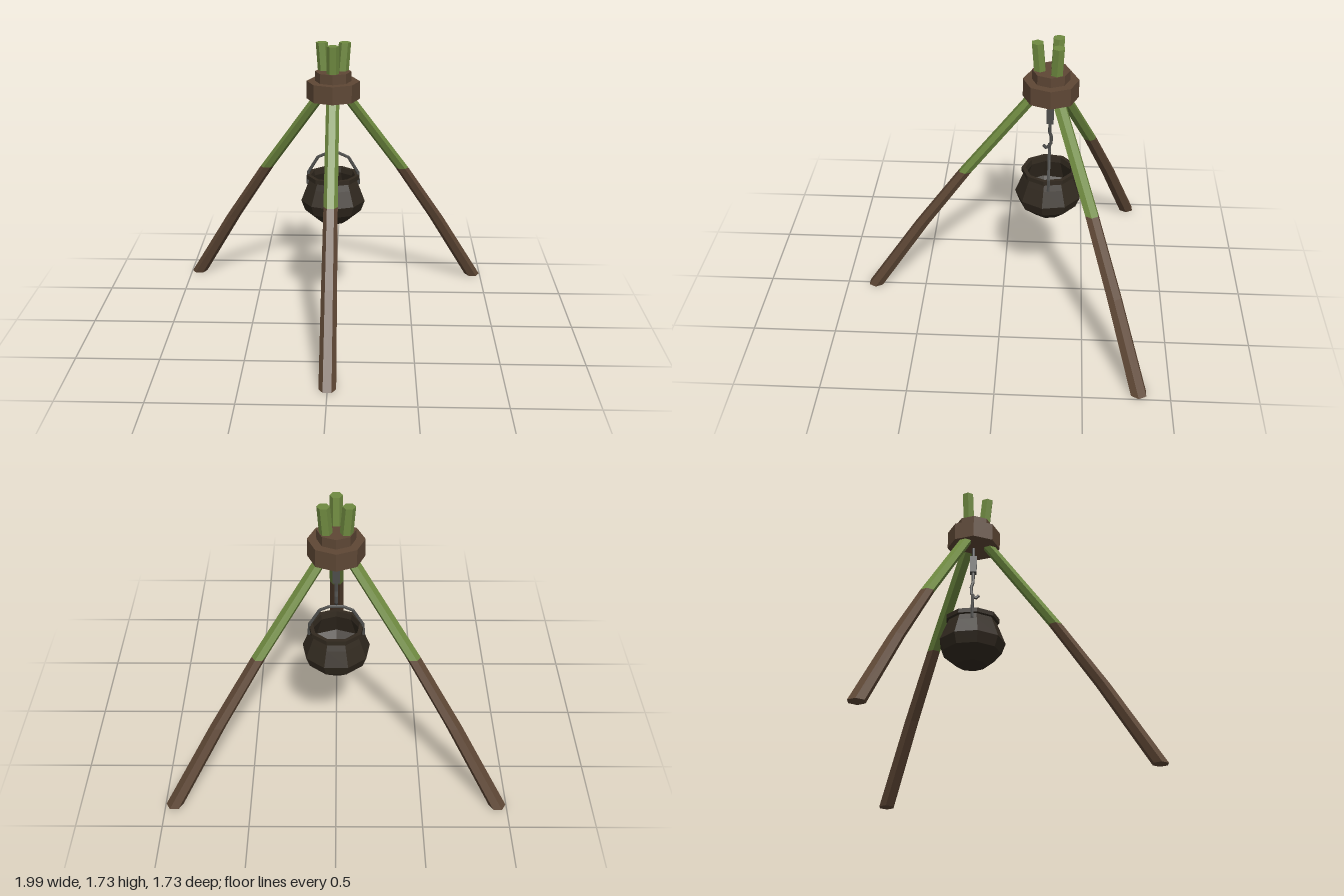
import * as THREE from 'three';

const flat = (name, color, side = THREE.FrontSide) =>
  Object.assign(new THREE.MeshStandardMaterial({ color, flatShading: true, side }), { name });
const V = (x, y, z) => new THREE.Vector3(x, y, z);

// Faceted rod along a path lying in the plane with the given normal.
// A fixed axis keeps every cross-section parallel.
function rod(points, radii, normal, sides, axis) {
  const rings = points.map((p, i) => {
    const a = points[Math.max(i - 1, 0)], b = points[Math.min(i + 1, points.length - 1)];
    const t = axis || b.clone().sub(a).normalize();
    const u = normal.clone().cross(t);
    const r = Array.isArray(radii) ? radii[i] : radii;
    return Array.from({ length: sides }, (_, k) => {
      const ang = (k / sides) * Math.PI * 2;
      return p.clone().addScaledVector(u, r * Math.cos(ang)).addScaledVector(normal, r * Math.sin(ang));
    });
  });
  const pos = [];
  const tri = (...vs) => vs.forEach(v => pos.push(v.x, v.y, v.z));
  const last = rings.length - 1;
  for (let k = 0; k < sides; k++) {
    const n = (k + 1) % sides;
    for (let i = 0; i < last; i++) {
      tri(rings[i][k], rings[i][n], rings[i + 1][n]);
      tri(rings[i][k], rings[i + 1][n], rings[i + 1][k]);
    }
    tri(points[0], rings[0][n], rings[0][k]);
    tri(points[last], rings[last][k], rings[last][n]);
  }
  const g = new THREE.BufferGeometry();
  g.setAttribute('position', new THREE.Float32BufferAttribute(pos, 3));
  g.computeVertexNormals();
  return g;
}

export function createModel() {
  const bark = flat('brown bark', 0x5e4735);
  const green = flat('green wood', 0x6f8a40);
  const iron = flat('dark iron', 0x31291f, THREE.DoubleSide);
  const steel = flat('grey metal', 0x4d4d4b);

  const model = new THREE.Group();
  model.name = 'campfireTripod';
  const hub = new THREE.Group(); // everything is arranged round the hanging axis
  hub.name = 'tripodAndPot';
  hub.position.z = -0.274;
  model.add(hub);

  const add = (name, geometry, material, y = 0) => {
    const m = new THREE.Mesh(geometry, material);
    m.name = name;
    m.position.y = y;
    hub.add(m);
    return m;
  };

  // Legs: [distance from axis, height, radius]
  const lower = [[1.094, 0, 0.05], [0.78, 0.48, 0.046], [0.503, 0.87, 0.042]];
  const upper = [lower[2], [0.1, 1.39, 0.04], [0.06, 1.5, 0.038], [0.081, 1.73, 0.037]];
  const up = V(0, 1, 0), back = V(0, 0, -1);
  ['front', 'left', 'right'].forEach((label, i) => {
    const ang = (i * Math.PI * 2) / 3;
    const build = rows => rod(
      rows.map(([r, y]) => V(r * Math.sin(ang), y, r * Math.cos(ang))),
      rows.map(row => row[2]), back, 6, up);
    add(label + 'LegLower', build(lower), bark);
    add(label + 'LegUpper', build(upper), green);
  });

  // Binding round the crossing of the legs
  add('lowerBinding', new THREE.CylinderGeometry(0.162, 0.162, 0.11, 8), bark, 1.445);
  add('upperBinding', new THREE.CylinderGeometry(0.11, 0.11, 0.06, 8), bark, 1.53);

  // Hanger: rod, coupling block and hook
  const side = V(1, 0, 0);
  add('hangerRod', rod([V(0, 1.4, 0), V(0, 1.2, 0)], 0.009, side, 6), steel);
  add('hangerBlock', new THREE.BoxGeometry(0.042, 0.108, 0.042), steel, 1.27);
  add('hook', rod([V(0, 1.22, 0), V(0, 1.15, 0), V(0, 1.12, -0.01), V(0, 1.075, -0.008),
    V(0, 1.05, 0.01), V(0, 1.045, 0.02), V(0, 1.062, 0.036)], 0.01, side, 6), steel);

  // Pot with flared rim, open at the top
  const profile = [[0, 0.6], [0.09, 0.6], [0.178, 0.675], [0.202, 0.74], [0.165, 0.835], [0.148, 0.875],
    [0.164, 0.878], [0.164, 0.905], [0.14, 0.905], [0.135, 0.87], [0.18, 0.74], [0.085, 0.62], [0, 0.62]];
  add('pot', new THREE.LatheGeometry(profile.map(([r, y]) => new THREE.Vector2(r, y)), 9), iron);

  // Bail handle
  const half = [[0.158, 0.84], [0.155, 0.915], [0.095, 1.015], [0.04, 1.04]];
  const bail = [...half.map(([x, y]) => V(-x, y, 0)), ...half.slice().reverse().map(([x, y]) => V(x, y, 0))];
  add('bailHandle', rod(bail, 0.01, V(0, 0, 1), 6), steel);

  return model;
}
